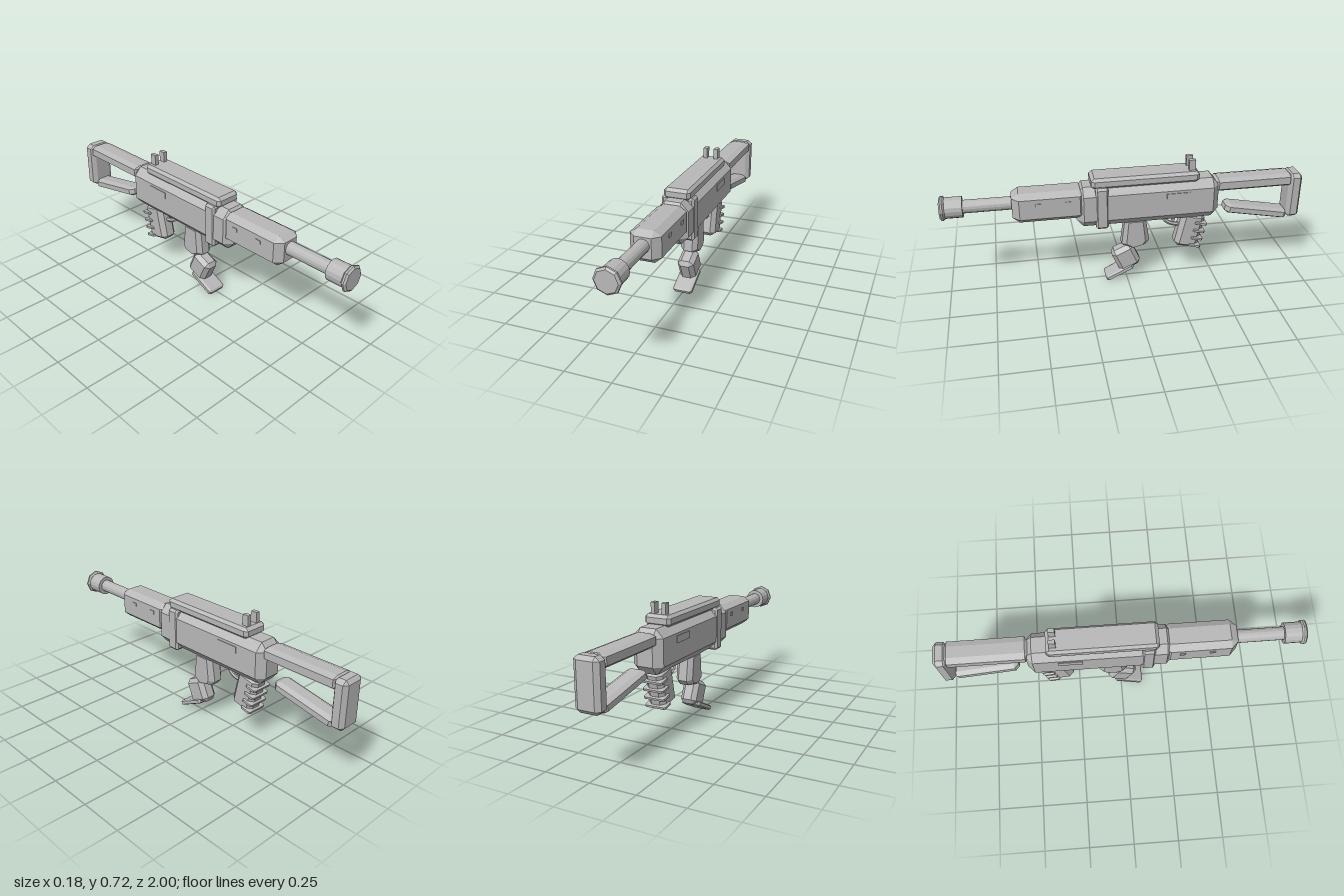
import * as THREE from 'three';
import { ConvexGeometry } from 'three/addons/geometries/ConvexGeometry.js';

export function createModel() {
  const model = new THREE.Group();
  const grey = new THREE.MeshStandardMaterial({ color: 0xb8b8b8, flatShading: true });
  grey.name = 'grey metal';

  function add(name, geometry, x = 0, y = 0, z = 0, rx = 0, parent = model) {
    const mesh = new THREE.Mesh(geometry, grey);
    mesh.name = name;
    mesh.position.set(x, y, z);
    mesh.rotation.x = rx;
    parent.add(mesh);
    return mesh;
  }

  // Box with every edge cut off: half sizes w, h, l and cuts per axis
  // (top and bottom cuts may differ).
  function chamfered(w, h, l, cx, cTop, cz, cBottom = cTop) {
    const pts = [];
    for (const sx of [-1, 1]) for (const sy of [-1, 1]) for (const sz of [-1, 1]) {
      const cy = sy > 0 ? cTop : cBottom;
      const p = (x, y, z) => pts.push(new THREE.Vector3(sx * x, sy * y, sz * z));
      p(w - cx, h, l - cz);
      p(w, h - cy, l - cz);
      p(w - cx, h - cy, l);
    }
    return new ConvexGeometry(pts);
  }

  // Cylinder-like part turned around the barrel axis; profile is [radius, z]
  function turned(profile, sides) {
    const g = new THREE.LatheGeometry(profile.map(([r, z]) => new THREE.Vector2(r, z)), sides);
    return g.rotateX(Math.PI / 2);
  }

  // Barrel and muzzle
  add('barrel', turned([[0, 0.55], [0.036, 0.55], [0.036, 0.9], [0, 0.9]], 16), 0, 0.53);
  add('muzzle', turned([[0, 0.88], [0.057, 0.88], [0.057, 0.98], [0, 0.98]], 16), 0, 0.53);
  add('muzzleFlange', turned([[0, 0.972], [0.06, 0.972], [0.07, 0.981], [0.07, 0.991], [0.059, 1], [0, 1]], 8), 0, 0.53);

  // Body
  add('handguard', chamfered(0.083, 0.085, 0.2, 0.038, 0.025, 0.038, 0.032), 0, 0.515, 0.425);
  add('receiver', chamfered(0.087, 0.118, 0.398, 0.042, 0.045, 0.038), 0, 0.492, -0.115);
  add('receiverBand', chamfered(0.092, 0.122, 0.035, 0.012, 0.012, 0.01), 0, 0.49, 0.145);
  add('topRail', chamfered(0.074, 0.03, 0.298, 0.015, 0.016, 0.018, 0.014), 0, 0.631, -0.098);

  // Paired sights, handguard slots and side ports
  for (const s of [-1, 1]) {
    const side = s > 0 ? 'left' : 'right';
    add(side + 'Sight', new THREE.BoxGeometry(0.023, 0.07, 0.036), s * 0.0315, 0.685, -0.358);
    for (const z of [0.327, 0.487])
      add(side + 'Slot', new THREE.BoxGeometry(0.008, 0.02, 0.03), s * 0.083, 0.541, z);
    add(side + 'Port', new THREE.BoxGeometry(0.008, 0.038, 0.13), s * 0.087, 0.532, -0.275);
  }

  // Skeleton stock
  add('stockUpperBar', chamfered(0.066, 0.038, 0.222, 0.034, 0.012, 0.015, 0.022), 0, 0.556, -0.718);
  add('stockLowerBar', chamfered(0.055, 0.029, 0.19, 0.025, 0.014, 0.024), 0, 0.371, -0.75, -0.19);
  add('buttPlate', chamfered(0.07, 0.134, 0.038, 0.025, 0.02, 0.018), 0, 0.46, -0.962);

  // Rear grip with ribs around its back
  const grip = new THREE.Group();
  grip.name = 'rearGrip';
  grip.position.set(0, 0.282, -0.362);
  grip.rotation.x = -0.22;
  model.add(grip);
  add('gripBody', chamfered(0.05, 0.108, 0.07, 0.025, 0.02, 0.025), 0, 0, 0, 0, grip);
  for (const y of [0.058, 0.01, -0.038, -0.086])
    add('gripRib', chamfered(0.061, 0.009, 0.034, 0.008, 0.003, 0.008), 0, y, -0.048, 0, grip);

  // Trigger guard
  const guardPath = new THREE.QuadraticBezierCurve3(
    new THREE.Vector3(0, 0.385, -0.207),
    new THREE.Vector3(0, 0.315, -0.215),
    new THREE.Vector3(0, 0.312, -0.31));
  add('triggerGuard', new THREE.TubeGeometry(guardPath, 6, 0.012, 6));
  add('trigger', new THREE.BoxGeometry(0.016, 0.045, 0.015), 0, 0.36, -0.275, -0.3);

  // Front grip: upper block flaring downward, profile is [z, y]
  const upper = [[0.012, 0.385], [0.03, 0.226], [-0.03, 0.197], [-0.105, 0.212], [-0.128, 0.24], [-0.106, 0.385]];
  const points = [];
  for (const s of [-1, 1]) for (const [z, y] of upper) {
    points.push(new THREE.Vector3(s * 0.025, y, z));
    points.push(new THREE.Vector3(s * 0.05, 0.29 + (y - 0.29) * 0.86, -0.045 + (z + 0.045) * 0.68));
  }
  add('frontGripUpper', new ConvexGeometry(points));
  add('frontGripLower', chamfered(0.048, 0.072, 0.066, 0.024, 0.022, 0.022), 0, 0.136, 0.005, 0.42);
  add('frontGripFoot', chamfered(0.056, 0.015, 0.086, 0.012, 0.006, 0.01), 0, 0.05, 0.044, 0.45);

  return model;
}
